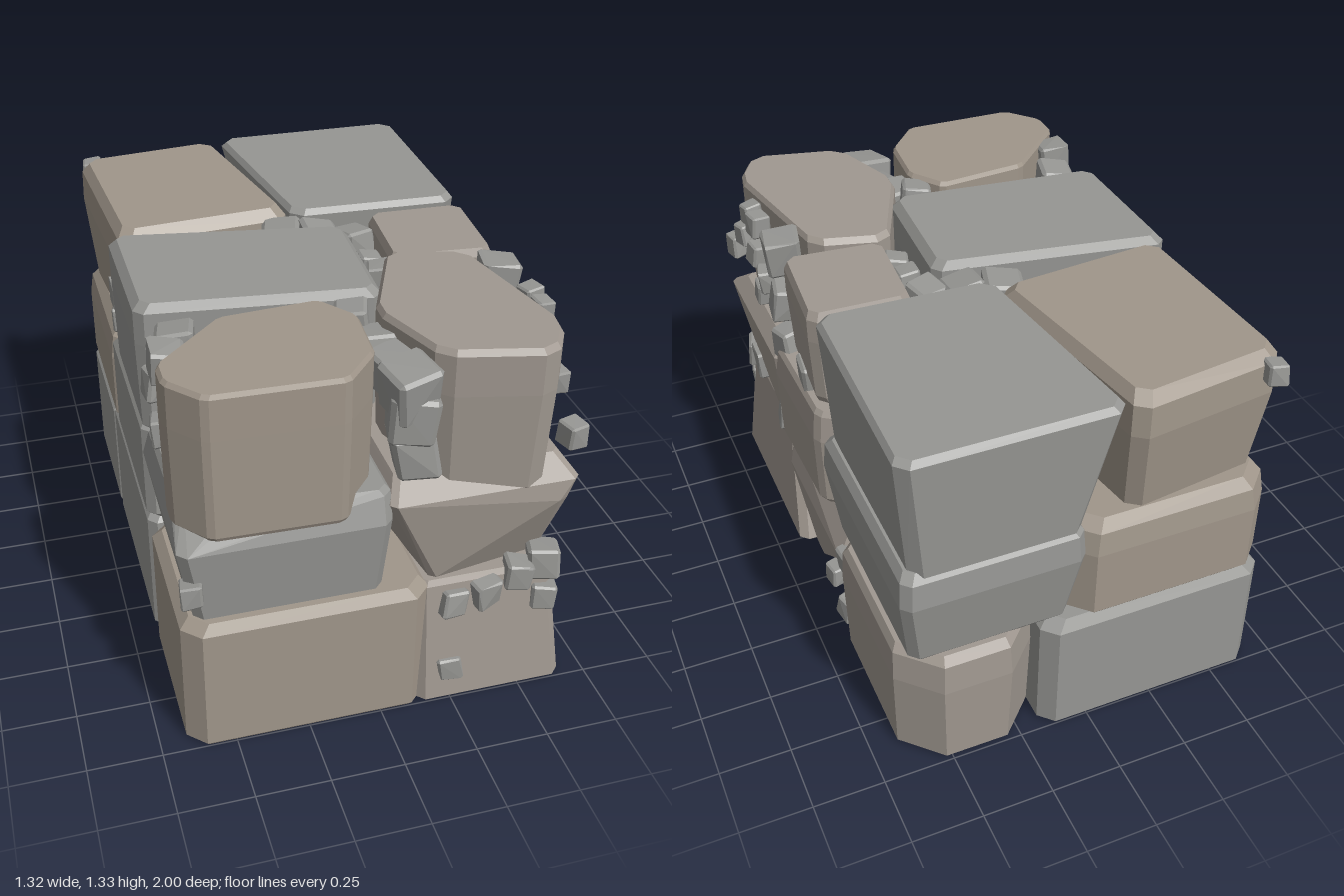
import * as THREE from 'three';
import { ConvexGeometry } from 'three/addons/geometries/ConvexGeometry.js';

const BROWN = 0xa0968a, GREY = 0x969693, WARM = 0xa09890;
const LIMIT = new THREE.Vector3(0.66, 1.33, 1);
const FLOOR = new THREE.Vector3(-0.66, 0, -1);

// Every stone is trimmed to the flat outer faces of the wall block
function addHull(group, name, color, points) {
  points.forEach((p) => p.clamp(FLOOR, LIMIT));
  const material = new THREE.MeshStandardMaterial({ color, flatShading: true });
  const mesh = new THREE.Mesh(new ConvexGeometry(points), material);
  mesh.name = name;
  group.add(mesh);
}

const rect = (x0, x1, z0, z1) => [[x0, z0], [x1, z0], [x1, z1], [x0, z1]];

// Scale an outline about its middle
function scaled(poly, k) {
  const mx = poly.reduce((s, p) => s + p[0], 0) / poly.length;
  const mz = poly.reduce((s, p) => s + p[1], 0) / poly.length;
  return poly.map(([x, z]) => [mx + (x - mx) * k, mz + (z - mz) * k]);
}

// Replace each corner of an outline with two points along its edges
function cutCorners(poly, c) {
  return poly.flatMap(([x, z], i) => [-1, 1].map((step) => {
    const [u, v] = poly[(i + step + poly.length) % poly.length];
    const t = Math.min(0.35, c / Math.hypot(u - x, v - z));
    return [x + (u - x) * t, z + (v - z) * t];
  }));
}

// Chiselled stone through horizontal outlines, bottom to top: [height, outline]
function stone(group, name, color, edge, corner, ...rings) {
  const points = [];
  const add = (y, poly) => poly.forEach(([x, z]) => points.push(new THREE.Vector3(x, y, z)));
  rings.forEach(([y, poly], i) => {
    const cut = cutCorners(poly, corner);
    const end = i === 0 ? 1 : i === rings.length - 1 ? -1 : 0;
    const chamfer = y === 0 ? 0.01 : edge; // crisp where it meets the ground
    add(y + end * chamfer, cut);
    if (end) add(y, scaled(cut, 1 - chamfer * 2.2));
  });
  addHull(group, name, color, points);
}

// Squared stone: one outline, with its bottom and top drawn in
function block(group, name, color, outline, y0, y1, { edge = 0.03, corner = edge, bottom = 1, top = 1 } = {}) {
  stone(group, name, color, edge, corner, [y0, scaled(outline, bottom)],
    [y0 + (y1 - y0) * 0.7, outline], [y1, scaled(outline, top)]);
}

// Small chipped cube, turned by its seed
function pebble(group, x, y, z, w, seed) {
  const points = [];
  const turn = new THREE.Euler(0.12 * Math.sin(seed * 2.3), 0.3 * Math.sin(seed * 1.7), 0.12 * Math.sin(seed * 3.1));
  for (const sx of [-1, 1]) for (const sy of [-1, 1]) for (const sz of [-1, 1]) {
    const size = w / 2 * (0.92 + 0.08 * Math.sin(seed + sx + 2 * sy + 3 * sz));
    for (const k of [[0.8, 0.85, 1], [0.8, 1, 0.85], [1, 0.85, 0.8]]) {
      points.push(new THREE.Vector3(sx * k[0], sy * k[1] * 1.08, sz * k[2])
        .multiplyScalar(size).applyEuler(turn).add(new THREE.Vector3(x, y, z)));
    }
  }
  addHull(group, 'pebble', GREY, points);
}

// A run of pebbles from one point to another, wandering to either side
function pebbleRun(group, count, from, to, width, wander = 0.015) {
  const a = new THREE.Vector3(...from), b = new THREE.Vector3(...to);
  for (let i = 0; i < count; i++) {
    const p = a.clone().lerp(b, count > 1 ? i / (count - 1) : 0);
    const seed = i + 7 * from[0] + 3 * from[1] + 5 * from[2];
    pebble(group, p.x, p.y + wander * Math.sin(seed * 4.1), p.z + wander * Math.sin(seed * 2.9),
      width * (1 + 0.1 * Math.sin(seed * 5.3)), seed);
  }
}

function bottomCourse() {
  const g = new THREE.Group();
  g.name = 'bottomCourse';
  block(g, 'frontLongStone', BROWN, rect(-0.66, 0.17, 0.38, 1), 0, 0.5, { edge: 0.035, corner: 0.06 });
  stone(g, 'frontCornerStone', WARM, 0.02, 0.03, [0, rect(0.13, 0.66, 0.22, 1)],
    [0.48, rect(0.13, 0.61, 0.39, 0.95)]);
  // Narrow foot spreading out to a wide shoulder
  stone(g, 'wedgeStone', WARM, 0.02, 0.02, [0, rect(0, 0.6, 0.1, 0.22)],
    [0.36, rect(0, 0.65, -0.31, 0.32)], [0.51, [[0, -0.28], [0.58, -0.28], [0.62, 0.34], [0, 0.34]]]);
  block(g, 'backCornerStone', WARM, rect(0.16, 0.66, -1, -0.22), 0, 0.48, { edge: 0.03, corner: 0.13, bottom: 0.97, top: 0.98 });
  block(g, 'backLongStone', GREY, rect(-0.66, 0.17, -1, -0.4), 0, 0.48, { edge: 0.04, corner: 0.05 });
  block(g, 'leftStone', GREY, rect(-0.66, 0.02, -0.43, 0.38), 0, 0.5);
  return g;
}

function middleCourse() {
  const g = new THREE.Group();
  g.name = 'middleCourse';
  stone(g, 'frontStone', GREY, 0.02, 0.03,
    [0.46, rect(-0.61, 0.01, 0.36, 0.95)], [0.77, rect(-0.66, 0.03, 0.34, 0.98)],
    [0.88, [[-0.64, 0.36], [0.03, 0.36], [0.03, 0.95], [-0.46, 0.93], [-0.64, 0.8]]]);
  // Wide brow over a slanting foot that comes to a point at the front
  stone(g, 'facetedStone', WARM, 0.01, 0.02,
    [0.47, [[0.18, 0.93], [0.6, 0.86], [0.63, 0.38], [0.1, 0.38]]],
    [0.75, [[0.1, 0.95], [0.61, 0.98], [0.65, 0.92], [0.65, 0.35], [0.05, 0.35]]],
    [0.82, rect(0.02, 0.66, 0.34, 0.97)], [0.88, rect(0.05, 0.62, 0.36, 0.89)]);
  block(g, 'rightStone', WARM, [[0, -0.21], [0.5, -0.21], [0.65, -0.1], [0.66, 0.37], [0, 0.38]], 0.47, 0.88, { edge: 0.02, bottom: 0.98, top: 0.96 });
  block(g, 'backCornerStone', GREY, rect(0.03, 0.66, -1, -0.2), 0.46, 0.88, { bottom: 0.89, top: 0.98 });
  block(g, 'backStone', BROWN, rect(-0.66, 0.08, -1, -0.26), 0.46, 0.87, { edge: 0.04, corner: 0.08, top: 0.97 });
  block(g, 'leftStone', GREY, rect(-0.66, 0.03, -0.3, 0.38), 0.48, 0.88);
  return g;
}

function topCourse() {
  const g = new THREE.Group();
  g.name = 'topCourse';
  const octagon = [[-0.66, 0.76], [-0.42, 0.52], [-0.08, 0.49], [0.01, 0.62], [-0.01, 0.85], [-0.13, 0.99], [-0.56, 0.98], [-0.66, 0.86]];
  block(g, 'frontLeftStone', BROWN, octagon, 0.81, 1.33, { edge: 0.015, bottom: 0.98 });
  const leaning = [[0.24, 0.2], [0.5, 0.27], [0.61, 0.84], [0.52, 1], [0.18, 0.92], [0.07, 0.6]];
  block(g, 'frontRightStone', WARM, leaning, 0.8, 1.33, { edge: 0.02, corner: 0.04, bottom: 0.95 });
  const skewed = [[-0.66, -0.18], [0.17, -0.04], [0.14, 0.48], [-0.66, 0.39]];
  block(g, 'middleStone', GREY, skewed, 0.84, 1.33, { bottom: 0.98 });
  const rightOutline = [[0.29, -0.16], [0.65, -0.15], [0.62, 0.25], [0.26, 0.22]];
  block(g, 'rightStone', WARM, rightOutline, 0.93, 1.31, { bottom: 0.93 });
  const slanted = [[-0.66, -0.93], [-0.11, -1], [0.02, -0.22], [-0.62, -0.16]];
  block(g, 'backLeftStone', BROWN, slanted, 0.82, 1.33, { edge: 0.04, bottom: 0.9, top: 0.99 });
  const broad = [[-0.08, -1], [0.66, -1], [0.64, -0.17], [0.02, -0.19]];
  stone(g, 'backRightStone', GREY, 0.02, 0.04, [0.82, rect(0.04, 0.62, -0.98, -0.22)], [1.33, broad]);
  return g;
}

function loosePebbles() {
  const g = new THREE.Group();
  g.name = 'pebbles';
  // Gap between the two front top stones
  pebbleRun(g, 3, [0.09, 1.22, 0.89], [0.11, 0.98, 0.9], 0.15);
  pebbleRun(g, 3, [0.01, 1.25, 0.54], [0.08, 1.2, 0.76], 0.12);
  // Rows across the right face
  pebbleRun(g, 2, [0.62, 1.28, 0.65], [0.62, 1.28, 0.56], 0.08, 0);
  pebbleRun(g, 3, [0.61, 1.12, 0.8], [0.61, 1.09, 0.48], 0.09);
  pebbleRun(g, 3, [0.59, 1.25, 0.36], [0.59, 0.9, 0.34], 0.13, 0.01);
  pebbleRun(g, 2, [0.62, 0.99, 0.95], [0.61, 0.98, 0.58], 0.08, 0);
  pebbleRun(g, 2, [0.61, 0.59, 0.69], [0.6, 0.52, 0.41], 0.12, 0);
  pebbleRun(g, 1, [0.58, 0.92, 0.08], [0.58, 0.92, 0.08], 0.11, 0);
  pebbleRun(g, 2, [0.61, 0.36, -0.31], [0.61, 0.08, -0.26], 0.09, 0);
  pebbleRun(g, 1, [0.61, 0.12, -0.11], [0.61, 0.12, -0.11], 0.08, 0);
  // Front face
  pebbleRun(g, 3, [0.25, 0.39, 0.95], [0.48, 0.45, 0.95], 0.09, 0.01);
  pebbleRun(g, 1, [0.58, 0.48, 0.93], [0.58, 0.48, 0.93], 0.12, 0);
  pebbleRun(g, 2, [0.58, 0.35, 0.95], [0.25, 0.12, 0.96], 0.085, 0);
  pebbleRun(g, 1, [-0.62, 0.62, 0.96], [-0.62, 0.62, 0.96], 0.08, 0);
  // Gaps on top
  pebbleRun(g, 3, [-0.03, 1.23, -0.16], [0.22, 1.23, -0.08], 0.13, 0);
  pebbleRun(g, 2, [0.22, 1.22, 0.08], [0.23, 1.22, 0.17], 0.1, 0);
  pebbleRun(g, 2, [-0.55, 1.24, 0.5], [-0.61, 1.25, 0.65], 0.13);
  // Left face and back corner
  pebbleRun(g, 2, [-0.62, 1.1, -0.2], [-0.61, 0.95, -0.24], 0.09);
  pebbleRun(g, 2, [-0.61, 1.1, 0.48], [-0.61, 0.98, 0.55], 0.09);
  pebbleRun(g, 1, [-0.61, 1.27, -0.95], [-0.61, 1.27, -0.95], 0.08, 0);
  return g;
}

export function createModel() {
  const wall = new THREE.Group();
  wall.name = 'stoneWallBlock';
  wall.add(bottomCourse(), middleCourse(), topCourse(), loosePebbles());
  return wall;
}
